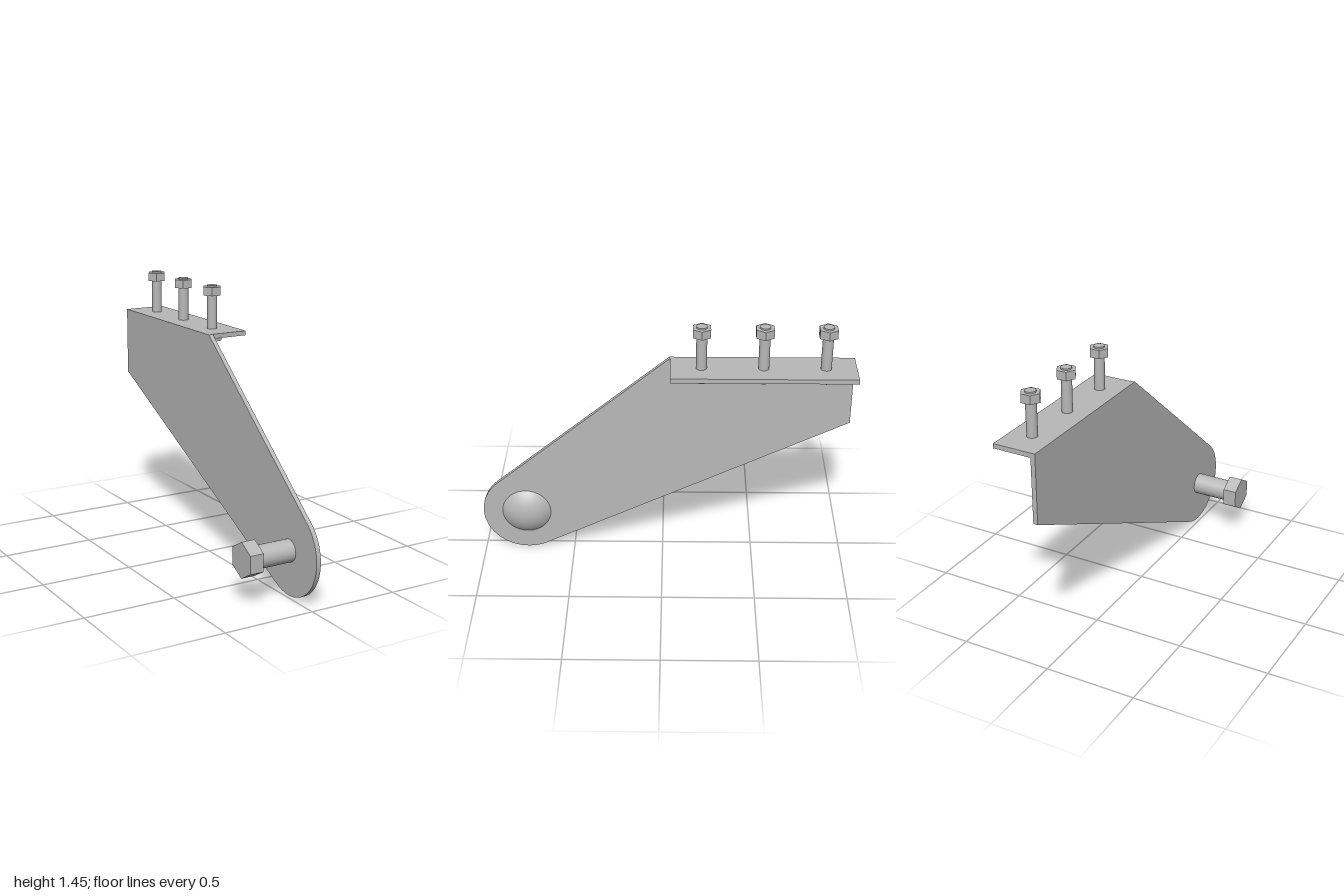
import * as THREE from 'three';
import { toCreasedNormals } from 'three/addons/utils/BufferGeometryUtils.js';

const steel = new THREE.MeshStandardMaterial({ color: 0xb8b8b8 });
steel.name = 'grey steel';

function part(name, geometry, parent) {
  const mesh = new THREE.Mesh(geometry, steel);
  mesh.name = name;
  parent.add(mesh);
  return mesh;
}

// Upright rod or disc spanning y0..y1
function rod(radius, y0, y1) {
  return new THREE.CylinderGeometry(radius, radius, y1 - y0, 40).translate(0, (y0 + y1) / 2, 0);
}

// Hexagonal nut with corners on the local x axis
function hex(radius, y0, y1) {
  const g = new THREE.CylinderGeometry(radius, radius, y1 - y0, 6, 1, false, Math.PI / 2);
  return toCreasedNormals(g.translate(0, (y0 + y1) / 2, 0), 0.5);
}

// Arm outline: rounded pivot end joined by tangents to the upper mounting end (u = -z)
function armShape(cu, cy, r) {
  const tangent = (u, y, side) =>
    Math.atan2(y - cy, u - cu) + side * Math.acos(r / Math.hypot(u - cu, y - cy));
  const start = tangent(0.035, 1.215, 1);
  const end = tangent(1, 0.835, -1) + 2 * Math.PI;
  const shape = new THREE.Shape();
  shape.moveTo(1, 0.835);
  shape.lineTo(1, 1.215);
  shape.lineTo(0.035, 1.215);
  shape.absarc(cu, cy, r, start, end, false);
  shape.closePath();
  return shape;
}

export function createModel() {
  const model = new THREE.Group();
  model.name = 'mountingBracket';
  const pivotY = 0.242, pivotZ = 0.76;

  // Flat arm
  const armGeo = new THREE.ExtrudeGeometry(armShape(-pivotZ, pivotY, 0.241), {
    depth: 0.025, bevelEnabled: false, curveSegments: 40,
  });
  const arm = part('armPlate', toCreasedNormals(armGeo, 0.5), model);
  arm.rotation.y = Math.PI / 2;
  arm.position.x = 0.02;

  // Top flange
  part('topFlange', new THREE.BoxGeometry(0.21, 0.025, 0.96), model).position.set(0.15, 1.2025, -0.52);

  // Three flange bolts
  for (const z of [-0.2, -0.52, -0.84]) {
    const bolt = new THREE.Group();
    bolt.name = 'flangeBolt';
    bolt.position.set(0.137, 0, z);
    part('boltHead', rod(0.053, 1.15, 1.19), bolt);
    part('boltShank', rod(0.028, 1.19, 1.455), bolt);
    part('boltNut', hex(0.053, 1.4, 1.447), bolt);
    model.add(bolt);
  }

  // Pivot bolt: local y points along +x
  const pivot = new THREE.Group();
  pivot.name = 'pivotBolt';
  pivot.position.set(0, pivotY, pivotZ);
  pivot.rotation.z = -Math.PI / 2;
  const domeR = 0.198;
  const cap = new THREE.SphereGeometry(domeR, 48, 14, 0, Math.PI * 2, 0, Math.asin(0.135 / domeR));
  part('domeHead', cap.translate(0, 0.098 - domeR, 0), pivot);
  part('pivotShank', rod(0.06, -0.2, 0.03), pivot);
  part('pivotNut', hex(0.096, -0.263, -0.186), pivot);
  model.add(pivot);

  return model;
}
